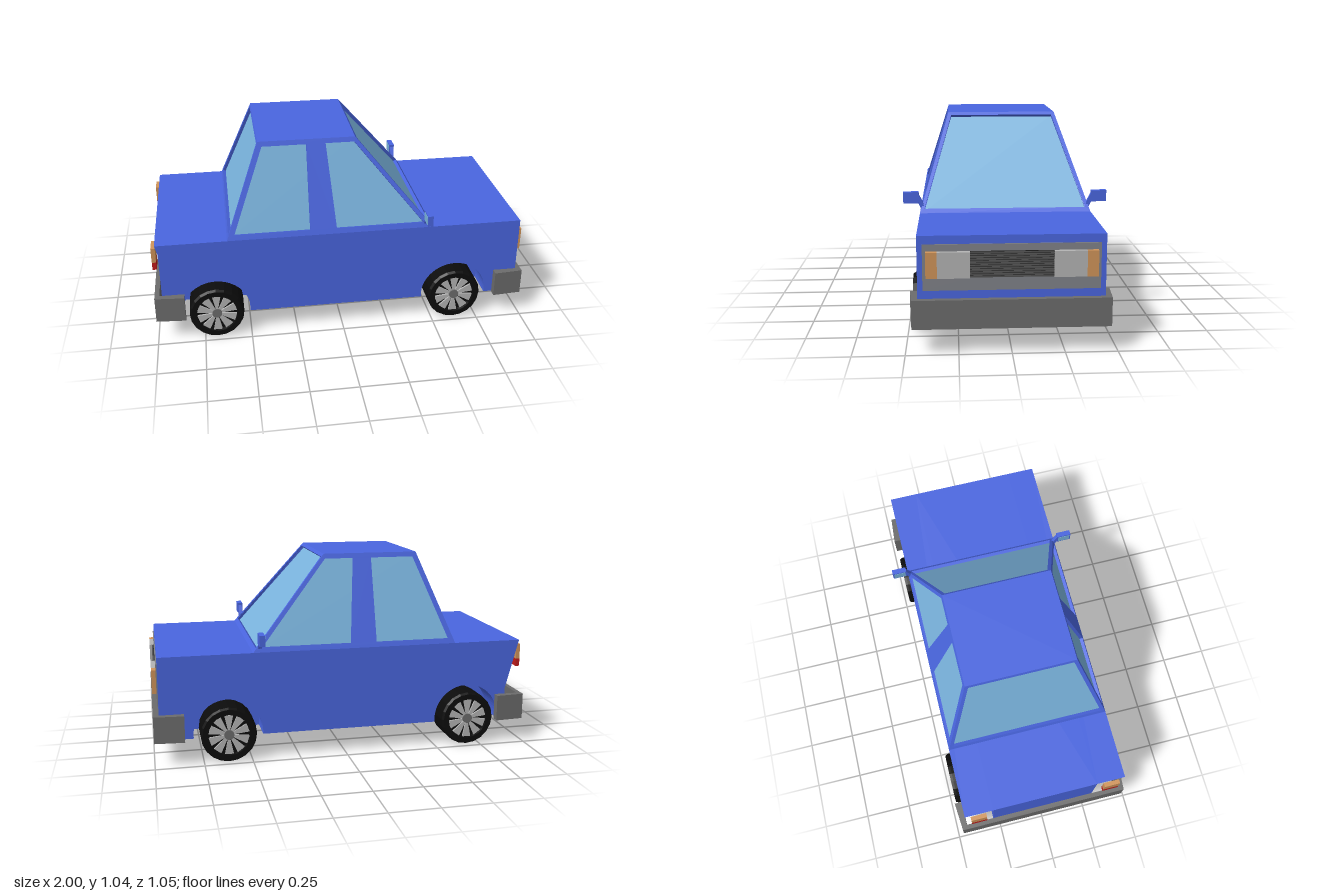
import * as THREE from 'three';

const mat = (color, extra = {}) => new THREE.MeshStandardMaterial({ color, flatShading: true, ...extra });

export function createModel() {
  const paint = mat(0x4a66e0), glass = mat(0x7ab4de, { side: THREE.DoubleSide });
  const rubber = mat(0x0c0c0c), dark = mat(0x1c1c1c), bumperGrey = mat(0x6c6c6c);
  const panelGrey = mat(0x808288), slatGrey = mat(0x505050), silver = mat(0xb4b4b4);
  const orange = mat(0xd0945a), red = mat(0xc01c1c);

  const car = new THREE.Group();
  car.name = 'car';
  const add = (name, geometry, material, parent = car) => {
    const mesh = new THREE.Mesh(geometry, material);
    mesh.name = name;
    parent.add(mesh);
    return mesh;
  };
  // Box given by its extents along each axis
  const block = (name, [x0, x1], [y0, y1], [z0, z1], material, parent) => {
    const g = new THREE.BoxGeometry(x1 - x0, y1 - y0, z1 - z0);
    g.translate((x0 + x1) / 2, (y0 + y1) / 2, (z0 + z1) / 2);
    return add(name, g, material, parent);
  };
  const polygon = (points) => new THREE.Shape(points.map(([x, y]) => new THREE.Vector2(x, y)));
  const extrude = (shape, depth) =>
    new THREE.ExtrudeGeometry(shape, { depth, bevelEnabled: false, curveSegments: 16 });

  const REAR = -0.975, FRONT = 0.97, FLOOR = 0.13, BELT = 0.565, ROOF = 1.045, HALF = 0.44;
  const AXLES = [-0.68, 0.62], AXLE_Y = 0.148, WELL = 0.285;

  // Lower body: solid core plus two flanks with wheel arches cut in
  block('bodyCore', [REAR, FRONT], [FLOOR, BELT], [-WELL, WELL], paint);
  const flank = new THREE.Shape();
  flank.moveTo(REAR, FLOOR);
  for (const x of AXLES) flank.absarc(x, AXLE_Y, 0.18, Math.PI + 0.1, -0.1, true);
  flank.lineTo(FRONT, FLOOR).lineTo(FRONT, BELT).lineTo(REAR, BELT);
  for (const z of [WELL, -HALF]) {
    add('bodyFlank', extrude(flank, HALF - WELL).translate(0, 0, z), paint);
  }

  // Cabin wall: framed panel leaning inward, with a pane set back in its openings
  const cabinWall = (name, outline, holes, base, lean, turn) => {
    const wall = new THREE.Group();
    wall.name = name;
    wall.rotation.y = turn;
    const slope = lean / (ROOF - BELT), angle = Math.atan(slope);
    const tilt = (g) => {
      const p = g.attributes.position;
      for (let i = 0; i < p.count; i++) {
        const y = p.getY(i), w = p.getZ(i);
        p.setY(i, y + w * Math.sin(angle));
        p.setZ(i, base - (y - BELT) * slope + w * Math.cos(angle));
      }
      g.computeVertexNormals();
      return g;
    };
    const frame = polygon(outline);
    frame.holes = holes.map((h) => new THREE.Path(polygon(h).getPoints()));
    add('windowFrame', tilt(extrude(frame, 0.02).translate(0, 0, -0.02)), paint, wall);
    add('windowGlass', tilt(new THREE.ShapeGeometry(polygon(outline)).translate(0, 0, -0.018)), glass, wall);
    car.add(wall);
  };
  const endOutline = [[-HALF, BELT], [HALF, BELT], [0.29, ROOF], [-0.29, ROOF]];
  const endHole = [[-0.417, 0.585], [0.417, 0.585], [0.275, 1.03], [-0.275, 1.03]];
  cabinWall('windscreen', endOutline, [endHole], 0.485, 0.4, Math.PI / 2);
  cabinWall('rearWindow', endOutline, [endHole], 0.605, 0.185, -Math.PI / 2);
  const sideOutline = [[-0.605, BELT], [0.485, BELT], [0.085, ROOF], [-0.42, ROOF]];
  const sideHoles = [
    [[-0.565, 0.592], [-0.17, 0.592], [-0.17, 1.02], [-0.4, 1.02]],
    [[-0.03, 0.592], [0.435, 0.592], [0.08, 1.02], [-0.07, 1.02]],
  ];
  for (const s of [1, -1]) {
    const flip = (pts) => pts.map(([x, y]) => [x * s, y]);
    cabinWall(s > 0 ? 'leftCabinSide' : 'rightCabinSide', flip(sideOutline), sideHoles.map(flip),
      HALF, 0.15, s > 0 ? 0 : Math.PI);
  }
  block('roof', [-0.42, 0.085], [ROOF - 0.01, ROOF], [-0.29, 0.29], paint);

  // Wrap-around bumpers, drawn in plan and raised
  for (const [name, s, body] of [['frontBumper', 1, FRONT], ['rearBumper', -1, -REAR]]) {
    const plan = polygon([[0.845, 0.48], [1, 0.468], [1, -0.468], [0.845, -0.48],
      [0.845, -HALF], [body, -HALF], [body, HALF], [0.845, HALF]].map(([x, z]) => [x * s, z]));
    add(name, extrude(plan, 0.14).rotateX(-Math.PI / 2).translate(0, 0.125, 0), bumperGrey);
  }

  // Nose panel, slatted grille and headlights
  block('nosePanel', [FRONT - 0.01, 0.976], [0.305, 0.525], [-0.415, 0.415], panelGrey);
  block('grilleBack', [FRONT, 0.979], [0.368, 0.492], [-0.195, 0.195], dark);
  for (let i = 0; i < 12; i++) {
    const y = 0.3685 + i * 0.0104;
    block('grilleSlat', [FRONT, 0.986], [y, y + 0.0066], [-0.195, 0.195], slatGrey);
  }
  const span = (s, a, b) => (s > 0 ? [a, b] : [-b, -a]);
  for (const s of [1, -1]) {
    block('headlight', [FRONT, 0.998], [0.368, 0.492], span(s, 0.195, 0.347), silver);
    block('frontIndicator', [FRONT, 0.998], [0.368, 0.492], span(s, 0.347, 0.4), orange);
    block('rearIndicator', [-0.997, REAR], [0.452, 0.535], span(s, 0.325, 0.41), orange);
    block('tailLight', [-0.997, REAR], [0.41, 0.452], span(s, 0.325, 0.41), red);

    // Door mirror on a short tapering arm
    block('mirrorHousing', [0.434, 0.462], [0.613, 0.671], span(s, 0.446, 0.525), paint);
    block('mirrorGlass', [0.432, 0.436], [0.62, 0.664], span(s, 0.453, 0.518), glass);
    const arm = polygon([[0.45, 0.666], [0.45, 0.617], [0.435, 0.585], [0.415, 0.585], [0.424, 0.612]]
      .map(([z, y]) => [-z * s, y]));
    add('mirrorArm', extrude(arm, 0.02).rotateY(Math.PI / 2).translate(0.438, 0, 0), paint);
  }

  // Wheels: dished tyre with ten wedge spokes and a hub
  const tyreProfile = [[0, 0.305], [0.145, 0.305], [0.145, 0.458], [0.137, 0.472],
    [0.109, 0.472], [0.105, 0.452], [0, 0.452]].map(([r, z]) => new THREE.Vector2(r, z));
  const tyre = new THREE.LatheGeometry(tyreProfile, 20).rotateX(Math.PI / 2);
  const spoke = extrude(polygon([[0.022, -0.006], [0.104, -0.023], [0.104, 0.023], [0.022, 0.006]]), 0.012);
  const hub = new THREE.CylinderGeometry(0.026, 0.026, 0.016, 20).rotateX(Math.PI / 2);
  for (const x of AXLES) for (const turn of [0, Math.PI]) {
    const wheel = new THREE.Group();
    wheel.name = 'wheel';
    wheel.position.set(x, AXLE_Y - 0.003, 0);
    wheel.rotation.y = turn;
    add('tyre', tyre, rubber, wheel);
    add('hub', hub, bumperGrey, wheel).position.z = 0.46;
    for (let i = 0; i < 10; i++) {
      const m = add('spoke', spoke, silver, wheel);
      m.position.z = 0.45;
      m.rotation.z = (i + 0.5) * Math.PI / 5;
    }
    car.add(wheel);
  }
  return car;
}
